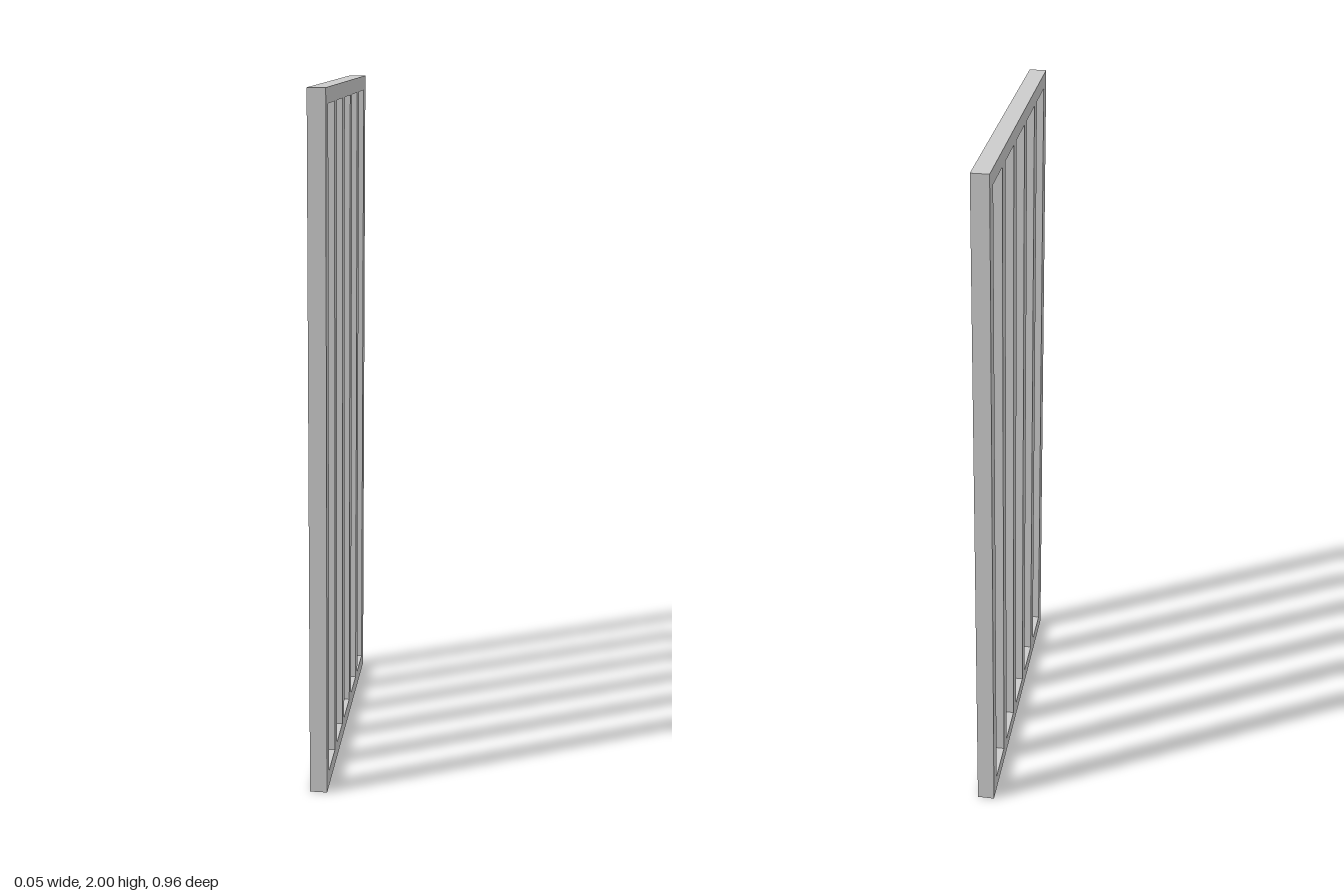
import * as THREE from 'three';

const HEIGHT = 2, WIDTH = 0.962, DEPTH = 0.05;
const BAR = 0.048, BOTTOM_RAIL = 0.047, TOP_RAIL = 0.043;
const OPENINGS = 5;

// Traces a rectangle, for the outline or for an opening
function rectangle(path, x0, y0, x1, y1) {
  path.moveTo(x0, y0);
  path.lineTo(x1, y0);
  path.lineTo(x1, y1);
  path.lineTo(x0, y1);
  path.closePath();
  return path;
}

export function createModel() {
  const group = new THREE.Group();
  group.name = 'barredGate';

  // Frame outline with evenly spaced openings that leave the upright bars
  const outline = rectangle(new THREE.Shape(), -WIDTH / 2, 0, WIDTH / 2, HEIGHT);
  const pitch = (WIDTH - BAR) / OPENINGS;
  for (let i = 0; i < OPENINGS; i++) {
    const x = -WIDTH / 2 + BAR + i * pitch;
    outline.holes.push(
      rectangle(new THREE.Path(), x, BOTTOM_RAIL, x + pitch - BAR, HEIGHT - TOP_RAIL));
  }

  // Give the panel its thickness and turn it to run along z
  const geometry = new THREE.ExtrudeGeometry(outline, { depth: DEPTH, bevelEnabled: false });
  geometry.translate(0, 0, -DEPTH / 2);
  geometry.rotateY(Math.PI / 2);

  const material = new THREE.MeshStandardMaterial({ color: 0xcccccc, flatShading: true });
  const panel = new THREE.Mesh(geometry, material);
  panel.name = 'frameAndBars';
  group.add(panel);
  return group;
}
